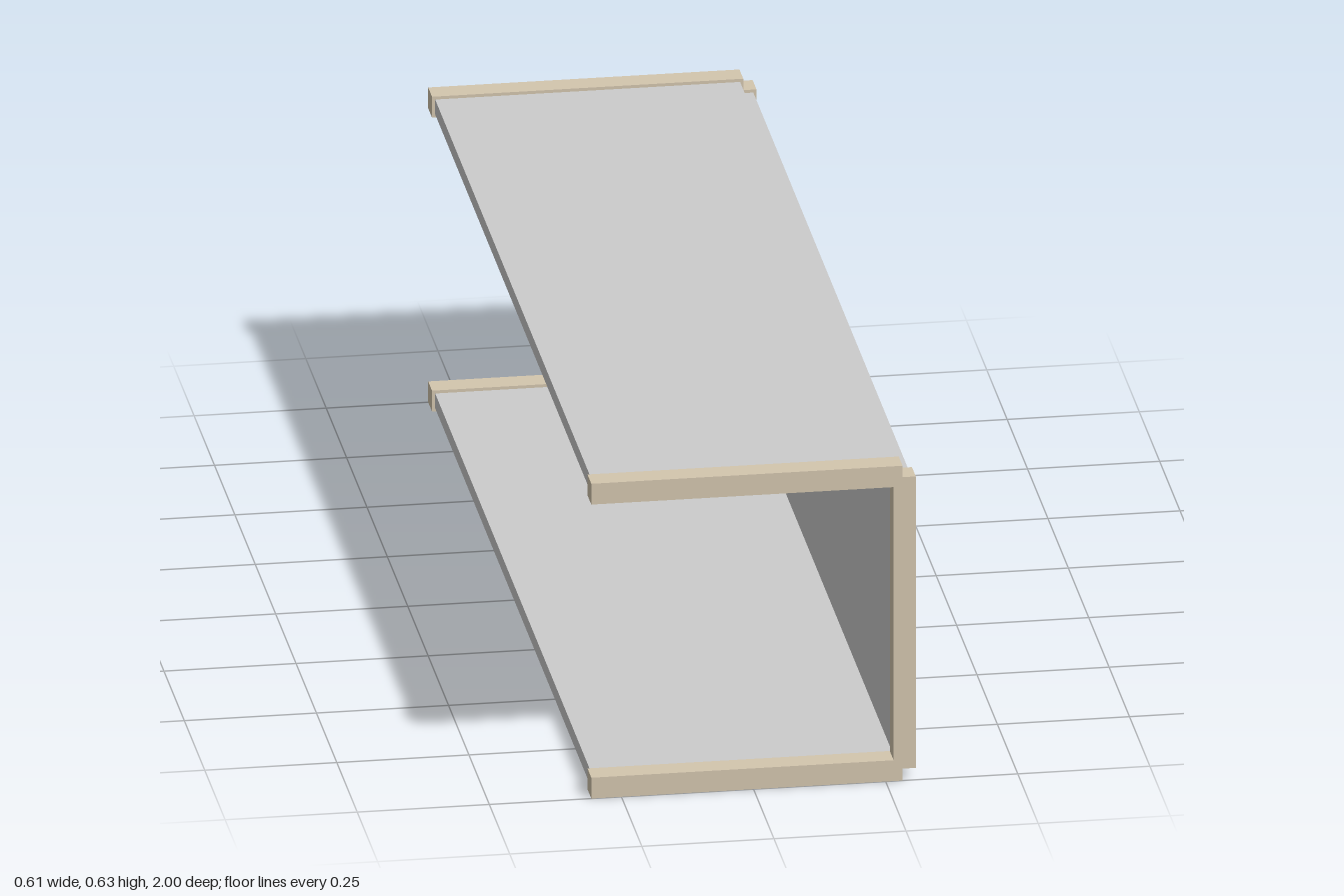
import * as THREE from 'three';

export function createModel() {
  const group = new THREE.Group();
  const grey = new THREE.MeshStandardMaterial({ color: 0xcccccc });
  const tan = new THREE.MeshStandardMaterial({ color: 0xd3c6ae });

  // Box given by its low and high corners
  const box = (name, material, x0, x1, y0, y1, z0, z1) => {
    const mesh = new THREE.Mesh(new THREE.BoxGeometry(x1 - x0, y1 - y0, z1 - z0), material);
    mesh.position.set((x0 + x1) / 2, (y0 + y1) / 2, (z0 + z1) / 2);
    mesh.name = name;
    group.add(mesh);
  };

  // Cross-section of each plank: x0, x1, y0, y1
  const planks = {
    bottom: [-0.307, 0.282, 0, 0.042],
    top: [-0.307, 0.282, 0.593, 0.635],
    side: [0.265, 0.307, 0.024, 0.612],
  };
  const inset = 0.006;

  for (const [name, [x0, x1, y0, y1]] of Object.entries(planks)) {
    // Long panel, slightly thinner than its end caps
    box(name + 'Panel', grey, x0 + inset, x1 - inset, y0 + inset, y1 - inset, -0.96, 0.96);
    // End caps, front and back
    box(name + 'FrontCap', tan, x0, x1, y0, y1, 0.953, 1);
    box(name + 'BackCap', tan, x0, x1, y0, y1, -1, -0.953);
  }
  return group;
}
